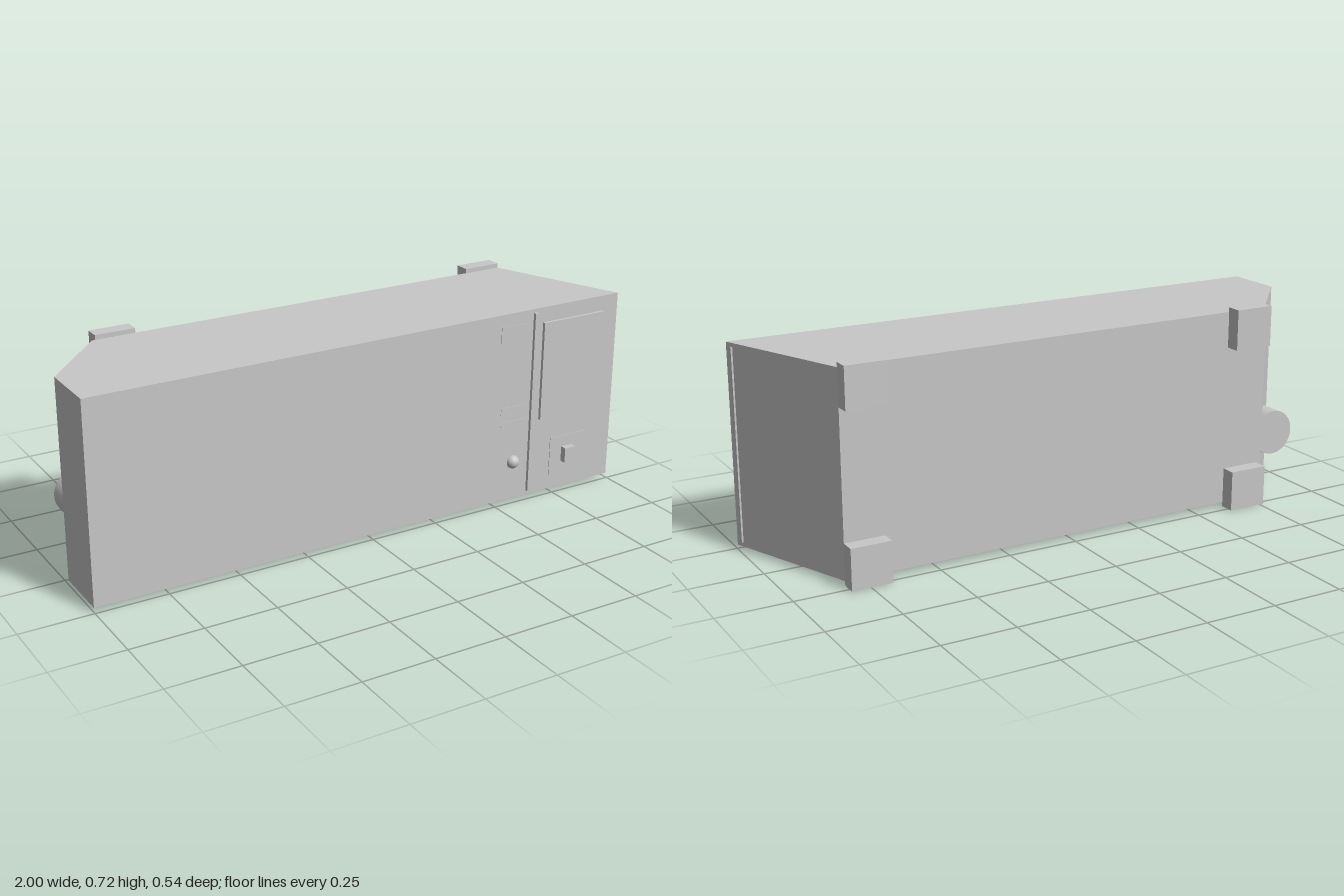
import * as THREE from 'three';

export function createModel() {
  const model = new THREE.Group();
  const grey = new THREE.MeshStandardMaterial({ color: 0xc8c8c8 });
  grey.name = 'light grey';

  function add(name, geometry) {
    const mesh = new THREE.Mesh(geometry, grey);
    mesh.name = name;
    model.add(mesh);
    return mesh;
  }

  // Box given by its limits on each axis
  function box(name, x0, x1, y0, y1, z0, z1) {
    const mesh = add(name, new THREE.BoxGeometry(x1 - x0, y1 - y0, z1 - z0));
    mesh.position.set((x0 + x1) / 2, (y0 + y1) / 2, (z0 + z1) / 2);
    return mesh;
  }

  // Body: plan outline (x, z) raised to full height
  const front = 0.243;
  const plan = [[-1, front], [1, front], [0.815, -0.217], [-0.775, -0.217], [-1, 0.035]];
  const outline = new THREE.Shape(plan.map(([x, z]) => new THREE.Vector2(x, -z)));
  const body = new THREE.ExtrudeGeometry(outline, { depth: 0.688, bevelEnabled: false });
  body.rotateX(-Math.PI / 2);
  add('body', body).position.y = 0.016;

  // Four mounting feet on the back
  for (const x of [-0.765, 0.675]) {
    for (const y of [0, 0.579]) box('foot', x, x + 0.14, y, y + 0.141, -0.269, -0.216);
  }

  // Round outlet on the slanted back corner
  const outlet = new THREE.CylinderGeometry(0.08, 0.08, 0.2, 40);
  outlet.rotateX(Math.PI / 2);
  add('outlet', outlet).position.set(-0.877, 0.22, -0.065);

  // Upright trim strips on the front, side and back corner
  box('frontStrip', 0.637, 0.653, 0.03, 0.69, 0.23, 0.254);
  box('sideStrip', 0.96, 0.995, 0.03, 0.69, 0.216, 0.228);
  box('backStrip', -0.786, -0.776, 0.03, 0.69, -0.215, -0.18);

  // Front panel and its thin plates
  box('windowPanel', 0.678, 0.938, 0.294, 0.65, 0.235, 0.254);
  box('switchPlate', 0.735, 0.885, 0.07, 0.21, 0.24, 0.245);
  box('upperPlate', 0.505, 0.605, 0.6, 0.66, 0.24, 0.245);
  box('middlePlate', 0.515, 0.625, 0.34, 0.364, 0.24, 0.245);
  box('lowerPlate', 0.515, 0.62, 0.295, 0.312, 0.24, 0.245);

  // Controls
  box('switchKnob', 0.786, 0.83, 0.113, 0.168, 0.235, 0.268);
  add('roundKnob', new THREE.SphereGeometry(0.024, 24, 16)).position.set(0.574, 0.155, 0.242);

  return model;
}
